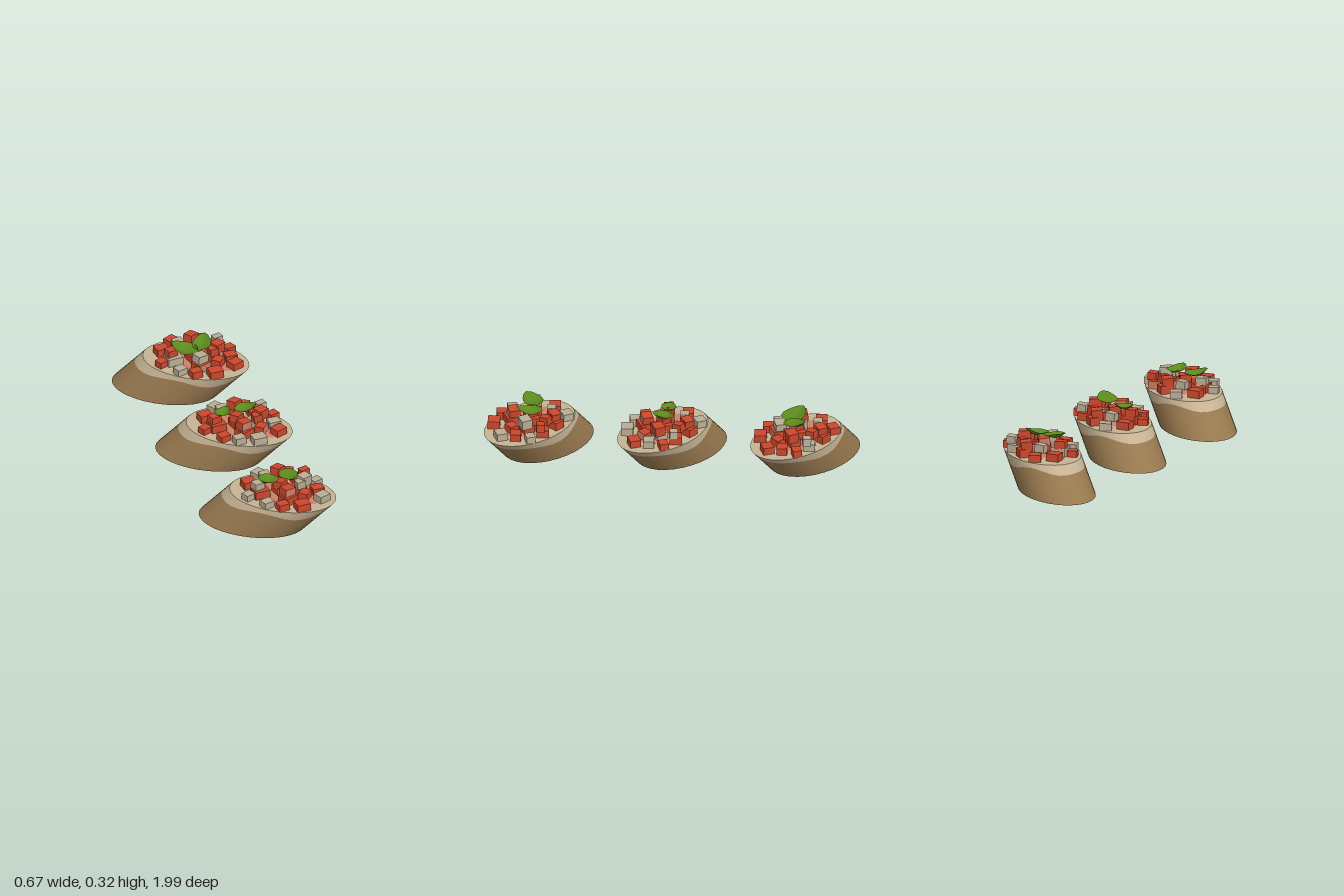
import * as THREE from 'three';

const mat = (name, color, side = THREE.FrontSide) => {
  const m = new THREE.MeshStandardMaterial({ color, side });
  m.name = name;
  return m;
};
const crust = mat('crust brown', 0x98794f);
const crumb = mat('crumb beige', 0xc6b394);
const tomato = mat('tomato red', 0xcb472c);
const flesh = mat('tomato flesh pink', 0xcf8068);
const cheese = mat('cheese beige', 0xb9ad95);
const leafGreen = mat('basil green', 0x5c8a1c, THREE.DoubleSide);

const N = 32, TOP = 0.184, TURN = 0.64;

// Point on the slanted oval loaf at angle t and height y, scaled by k
function loafPoint(t, y, k = 1) {
  const a = Math.cos(t) * 0.295 * k, b = Math.sin(t) * 0.193 * k, s = y / TOP - 0.5;
  return [
    a * Math.cos(TURN) - b * Math.sin(TURN) + 0.148 * s,
    y,
    a * Math.sin(TURN) + b * Math.cos(TURN) + 0.088 * s,
  ];
}

function geometry(points, index) {
  const g = new THREE.BufferGeometry();
  g.setAttribute('position', new THREE.Float32BufferAttribute(points.flat(), 3));
  g.setIndex(index);
  return g;
}

// Slanted wall: crust below a wavy edge, crumb above it
function wallGeometry() {
  const edge = (t) => 0.143 + 0.011 * Math.sin(3 * t + 2.4) + 0.006 * Math.sin(5 * t);
  const points = [], index = [];
  for (const level of [() => 0.003, edge, () => TOP]) {
    for (let i = 0; i < N; i++) {
      const t = (i / N) * Math.PI * 2;
      points.push(loafPoint(t, level(t)));
    }
  }
  for (let j = 0; j < 2; j++) {
    for (let i = 0; i < N; i++) {
      const a = j * N + i, b = j * N + ((i + 1) % N);
      index.push(a, a + N, b, b, a + N, b + N);
    }
  }
  const g = geometry(points, index);
  g.addGroup(0, N * 6, 0);
  g.addGroup(N * 6, N * 6, 1);
  g.computeVertexNormals();
  return g;
}

// Flat oval face; radius is a function of angle
function discGeometry(y, up, radius = () => 1) {
  const points = [loafPoint(0, y, 0)], index = [];
  for (let i = 0; i < N; i++) {
    const t = (i / N) * Math.PI * 2, a = i + 1, b = ((i + 1) % N) + 1;
    points.push(loafPoint(t, y, radius(t)));
    index.push(0, up ? b : a, up ? a : b);
  }
  const g = geometry(points, index);
  g.computeVertexNormals();
  return g;
}

// Pointed, cupped leaf lying along x
function leafGeometry(length, width) {
  const g = new THREE.PlaneGeometry(1, 1, 10, 6).rotateX(-Math.PI / 2);
  const p = g.attributes.position;
  for (let i = 0; i < p.count; i++) {
    const u = p.getX(i) * 2, v = p.getZ(i) * 2;
    const half = Math.pow(Math.max(0, 1 - u * u), 0.65) * (1 - 0.2 * u);
    p.setXYZ(i, u * length / 2,
      0.028 * u * u + 0.022 * Math.abs(v) * half,
      v * half * width / 2);
  }
  g.computeVertexNormals();
  return g;
}

const wall = wallGeometry();
const topFace = discGeometry(TOP, true);
const bottomFace = discGeometry(0.003, false);
const juice = discGeometry(TOP + 0.002, true,
  (t) => 0.64 + 0.07 * Math.sin(5 * t) + 0.05 * Math.sin(3 * t + 1));
const unitBox = new THREE.BoxGeometry(1, 1, 1);

// Diced topping: x, z, width, height, base height, turn
const dice = [
  [-0.12, 0.04, 0.055, 0.035, 0, 0.4], [-0.08, -0.08, 0.07, 0.042, 0, 0.1],
  [0.00, -0.15, 0.065, 0.04, 0, 0.5], [0.10, -0.10, 0.07, 0.045, 0, 0.9],
  [0.19, -0.04, 0.075, 0.042, 0, 0.1], [0.27, 0.02, 0.055, 0.038, 0, 0.35],
  [0.25, 0.10, 0.065, 0.04, 0, 0.05], [0.25, 0.18, 0.068, 0.04, 0, 0.4],
  [0.12, 0.23, 0.075, 0.042, 0, 0.05], [0.02, 0.20, 0.06, 0.04, 0, 0.15],
  [-0.05, 0.145, 0.06, 0.036, 0, 0.3], [-0.05, 0.03, 0.085, 0.045, 0, 0.1],
  [0.07, 0.14, 0.08, 0.045, 0, 0.45], [0.17, 0.13, 0.06, 0.042, 0, 0.8],
  [0.07, 0.03, 0.08, 0.045, 0, 0.2], [0.16, 0.05, 0.07, 0.045, 0, 0.6],
  [-0.06, 0.02, 0.058, 0.045, 0.038, 0.25], [0.01, -0.07, 0.055, 0.045, 0.03, 0.05],
  [0.09, -0.09, 0.062, 0.047, 0.04, 0.6], [0.14, -0.05, 0.05, 0.045, 0.04, 1.1],
  [0.19, 0.055, 0.065, 0.055, 0.042, 0.5], [0.22, -0.03, 0.05, 0.045, 0.038, 0.2],
  [0.07, 0.13, 0.066, 0.05, 0.038, 0.35], [0.16, 0.08, 0.048, 0.045, 0.04, 0.1],
  [0.06, 0.04, 0.06, 0.045, 0.035, 0.7],
];

// Per slice: dice kinds (t tomato, p tomato with cut flesh, c cheese) and
// leaves: x, y, z, length, width, yaw, pitch
const slices = [
  { z: -0.72, kinds: 'ttttctttttccptpttctttcctp',
    leaves: [[0, 0.262, 0.055, 0.155, 0.125, 2.5, 0.2], [0.11, 0.268, 0.04, 0.14, 0.1, 1, 0.25]] },
  { z: 0, kinds: 'ttctttctcctttptctctttcptt',
    leaves: [[-0.01, 0.257, 0.015, 0.1, 0.08, 0.57, 0.1], [0.115, 0.277, 0.045, 0.13, 0.11, -0.62, 0.3]] },
  { z: 0.72, kinds: 'ctctpctcttctttptccttctpct',
    leaves: [[-0.015, 0.263, 0.04, 0.13, 0.11, 3.8, 0.2], [0.11, 0.265, 0.04, 0.14, 0.1, -1.57, 0.1]] },
];

function add(parent, name, geo, material) {
  const mesh = new THREE.Mesh(geo, material);
  mesh.name = name;
  parent.add(mesh);
  return mesh;
}

export function createModel() {
  const model = new THREE.Group();
  model.name = 'toastPlatter';
  for (const slice of slices) {
    const toast = new THREE.Group();
    toast.name = 'toast';
    toast.position.z = slice.z;
    model.add(toast);

    // Bread
    add(toast, 'breadWall', wall, [crust, crumb]);
    add(toast, 'breadTop', topFace, crumb);
    add(toast, 'breadBottom', bottomFace, crumb);
    add(toast, 'tomatoJuice', juice, flesh);

    // Diced tomato and cheese
    const looks = { t: tomato, c: cheese, p: [tomato, tomato, tomato, tomato, flesh, flesh] };
    dice.forEach(([x, z, w, h, base, turn], i) => {
      const kind = slice.kinds[i];
      const cube = add(toast, kind === 'c' ? 'cheeseCube' : 'tomatoCube', unitBox, looks[kind]);
      cube.scale.set(w, h, w * 0.88);
      cube.position.set(x, TOP + base + h / 2, z);
      cube.rotation.set(base ? 0.06 * Math.sin(i * 2) : 0, turn, base ? 0.08 * Math.cos(i * 3) : 0);
    });

    // Basil leaves
    for (const [x, y, z, length, width, yaw, pitch] of slice.leaves) {
      const leaf = add(toast, 'basilLeaf', leafGeometry(length, width), leafGreen);
      leaf.position.set(x, y, z);
      leaf.rotation.set(0, yaw, pitch, 'YXZ');
    }
  }
  return model;
}
